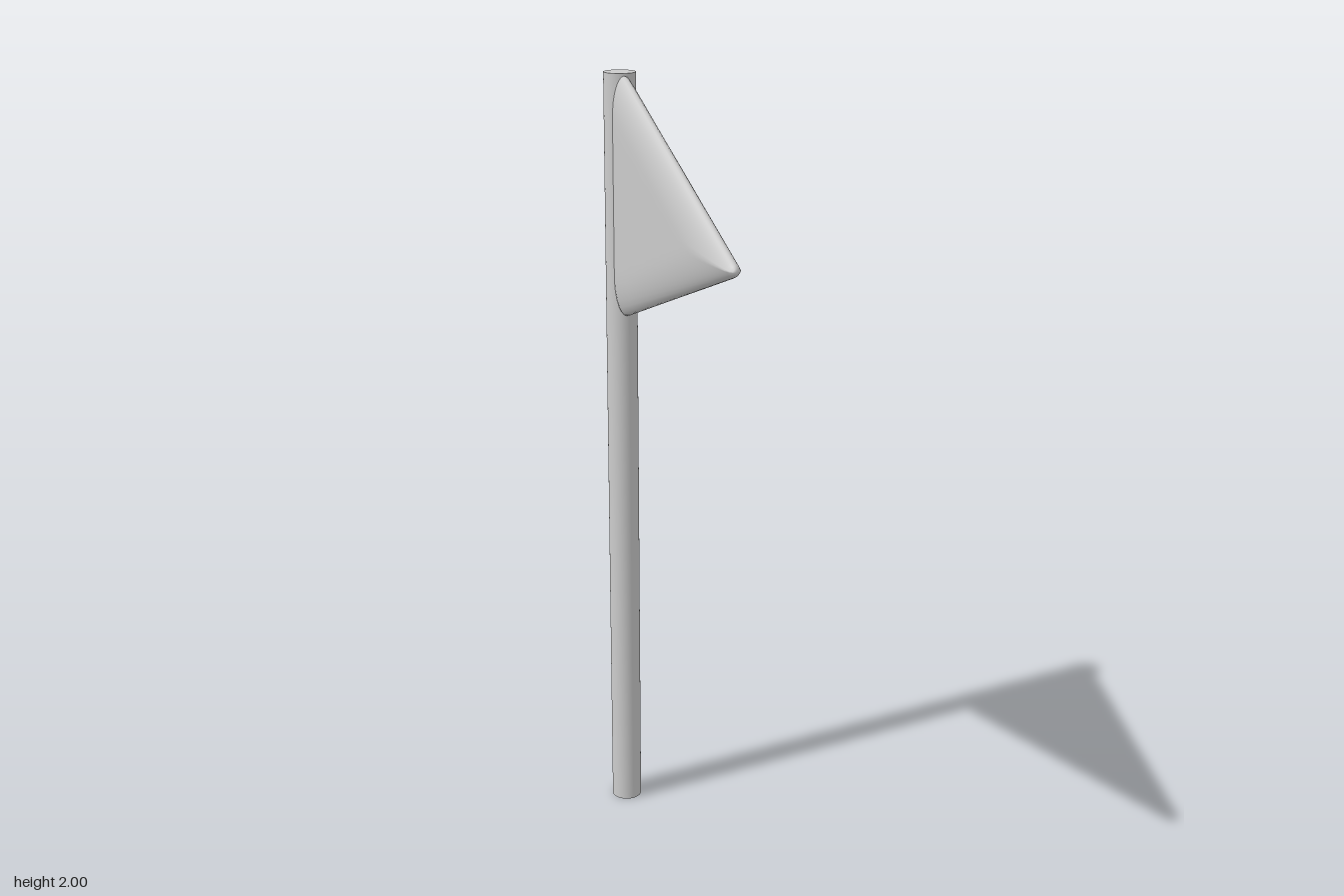
import * as THREE from 'three';

const POLE_Z = -0.41;
const FLAG_Y = 1.698;

// Pennant lofted along z: triangular outline, thickness rounding off near the edges
function pennantGeometry() {
  // [z, half height, thickness scale]
  const stations = [[-0.395, 0.292, 0.8], [-0.38, 0.296, 0.92], [-0.365, 0.296, 0.98], [-0.335, 0.287, 1]];
  for (let i = 1; i <= 20; i++) {
    const t = 1 - (1 - i / 20) ** 2; // closer spacing towards the tip
    stations.push([-0.335 + 0.765 * t, 0.287 - 0.27 * t, 1]);
  }
  stations.push([0.442, 0.012, 0.9], [0.448, 0.007, 0.7]);

  const half = 24, ring = half * 2;
  const positions = [], index = [];
  const thickness = (d) => 0.03 * Math.sqrt(Math.max(0, 1 - (1 - Math.min(1, d / 0.1)) ** 2));
  for (const [z, h, s] of stations) {
    for (let j = 0; j < ring; j++) {
      const a = (j / ring) * Math.PI * 2;
      const y = h * Math.cos(a);
      const side = j % half === 0 ? 0 : Math.sign(Math.sin(a));
      positions.push(side * s * thickness(h - Math.abs(y)), FLAG_Y + y, z);
    }
  }
  for (let i = 0; i < stations.length - 1; i++) {
    for (let j = 0; j < ring; j++) {
      const a = i * ring + j, b = i * ring + (j + 1) % ring;
      index.push(a, a + ring, b, b, a + ring, b + ring);
    }
  }
  // End caps
  const last = (stations.length - 1) * ring;
  positions.push(0, FLAG_Y, stations[0][0], 0, FLAG_Y, 0.45);
  const back = last + ring, tip = back + 1;
  for (let j = 0; j < ring; j++) {
    const k = (j + 1) % ring;
    index.push(back, j, k, tip, last + k, last + j);
  }
  const geometry = new THREE.BufferGeometry();
  geometry.setAttribute('position', new THREE.Float32BufferAttribute(positions, 3));
  geometry.setIndex(index);
  geometry.computeVertexNormals();
  return geometry;
}

export function createModel() {
  const group = new THREE.Group();
  group.name = 'pennantFlag';
  const material = new THREE.MeshStandardMaterial({ color: 0xcccccc });

  const pole = new THREE.Mesh(new THREE.CylinderGeometry(0.04, 0.04, 2, 32), material);
  pole.name = 'pole';
  pole.position.set(0, 1, POLE_Z);
  group.add(pole);

  const flagMaterial = material.clone();
  flagMaterial.side = THREE.DoubleSide;
  const flag = new THREE.Mesh(pennantGeometry(), flagMaterial);
  flag.name = 'pennant';
  group.add(flag);
  return group;
}
